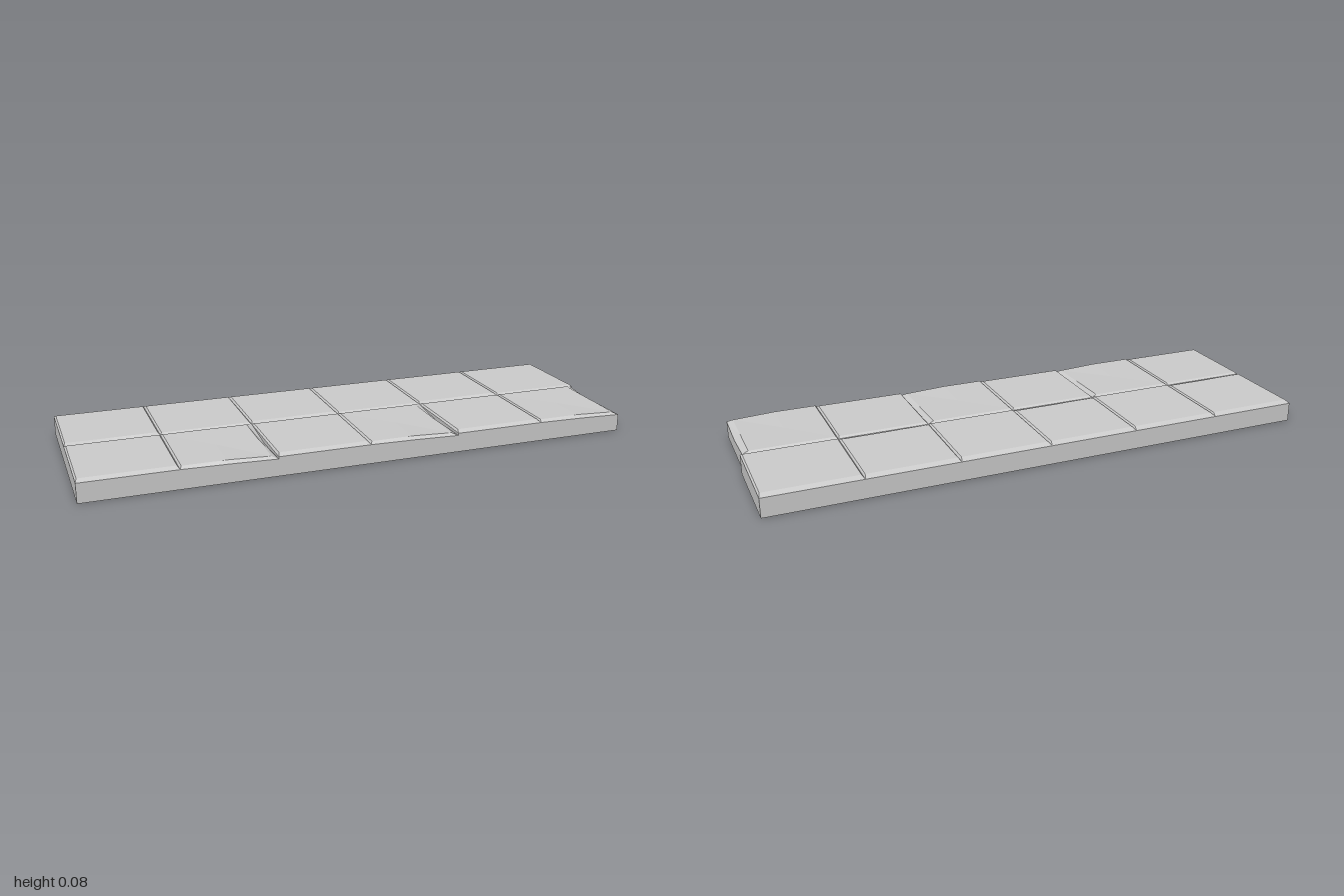
import * as THREE from 'three';

const TOP = 0.078, RIM = 0.07;
const material = new THREE.MeshStandardMaterial({ color: 0xcccccc, flatShading: true, roughness: 0.8 });

// Closed block from stacked eight-point loops: corners and edge middles,
// counter-clockwise from above, starting at the front left-hand corner (-x, +z)
function loop(x0, x1, z0, z1, heights) {
  const xm = (x0 + x1) / 2, zm = (z0 + z1) / 2;
  return [[x0, z1], [xm, z1], [x1, z1], [x1, zm], [x1, z0], [xm, z0], [x0, z0], [x0, zm]]
    .map(([x, z], i) => [x, heights[i], z]);
}

function stackLoops(loops) {
  const pos = [];
  const tri = (a, b, c) => pos.push(...a, ...b, ...c);
  const centre = (l) => [0, 1, 2].map((k) => l.reduce((s, p) => s + p[k], 0) / l.length);
  const n = loops[0].length, last = loops[loops.length - 1];
  const bottom = centre(loops[0]), top = centre(last);
  for (let i = 0; i < n; i++) {
    const j = (i + 1) % n;
    for (let k = 0; k < loops.length - 1; k++) {
      const a = loops[k], b = loops[k + 1];
      tri(a[i], a[j], b[j]);
      tri(a[i], b[j], b[i]);
    }
    tri(bottom, loops[0][j], loops[0][i]);
    tri(top, last[i], last[j]);
  }
  const geometry = new THREE.BufferGeometry();
  geometry.setAttribute('position', new THREE.Float32BufferAttribute(pos, 3));
  geometry.computeVertexNormals();
  return geometry;
}

// One paving tile; inset = bevel widths on the -x, +x, back and front edges
function tile(name, x0, x1, z0, z1, rim, inset, top) {
  const [l, r, b, f] = inset;
  const mesh = new THREE.Mesh(stackLoops([
    loop(x0, x1, z0, z1, Array(8).fill(0)),
    loop(x0, x1, z0, z1, rim),
    loop(x0 + l, x1 - r, z0 + b, z1 - f, top),
  ]), material);
  mesh.name = name;
  return mesh;
}

export function createModel() {
  const group = new THREE.Group();
  group.name = 'pavingSlab';
  const step = 0.332, split = 0.004;
  const flat = Array(8).fill(TOP), even = Array(8).fill(RIM + 0.002);

  for (let i = 0; i < 6; i++) {
    const x0 = -1 + step * i, x1 = x0 + step, odd = i % 2 === 1;

    // Back row: alternate tiles have a wider worn front edge
    const backRim = [...even];
    for (const k of [4, 5, 6]) backRim[k] = RIM;
    if (!odd) backRim[1] = 0.067;
    group.add(tile('backTile' + (i + 1), x0, i === 5 ? 1 : x1, -0.34, split,
      backRim, [0.006, 0.006, 0.022, odd ? 0.01 : 0.019], flat));

    // Front row: alternate tiles are chipped along their +x edge
    const frontRim = [...even];
    for (const k of [0, 1, 2]) frontRim[k] = RIM;
    const frontTop = [...flat];
    if (odd) {
      frontRim[1] = 0.067;
      frontRim[2] = 0.062;
      frontRim[3] = 0.055;
      frontTop[2] = 0.071;
      frontTop[3] = 0.075;
    }
    group.add(tile('frontTile' + (i + 1), x0, x1, split, 0.34,
      frontRim, [0.006, odd ? 0.022 : 0.006, 0.01, odd ? 0.012 : 0.02], frontTop));
  }
  return group;
}
